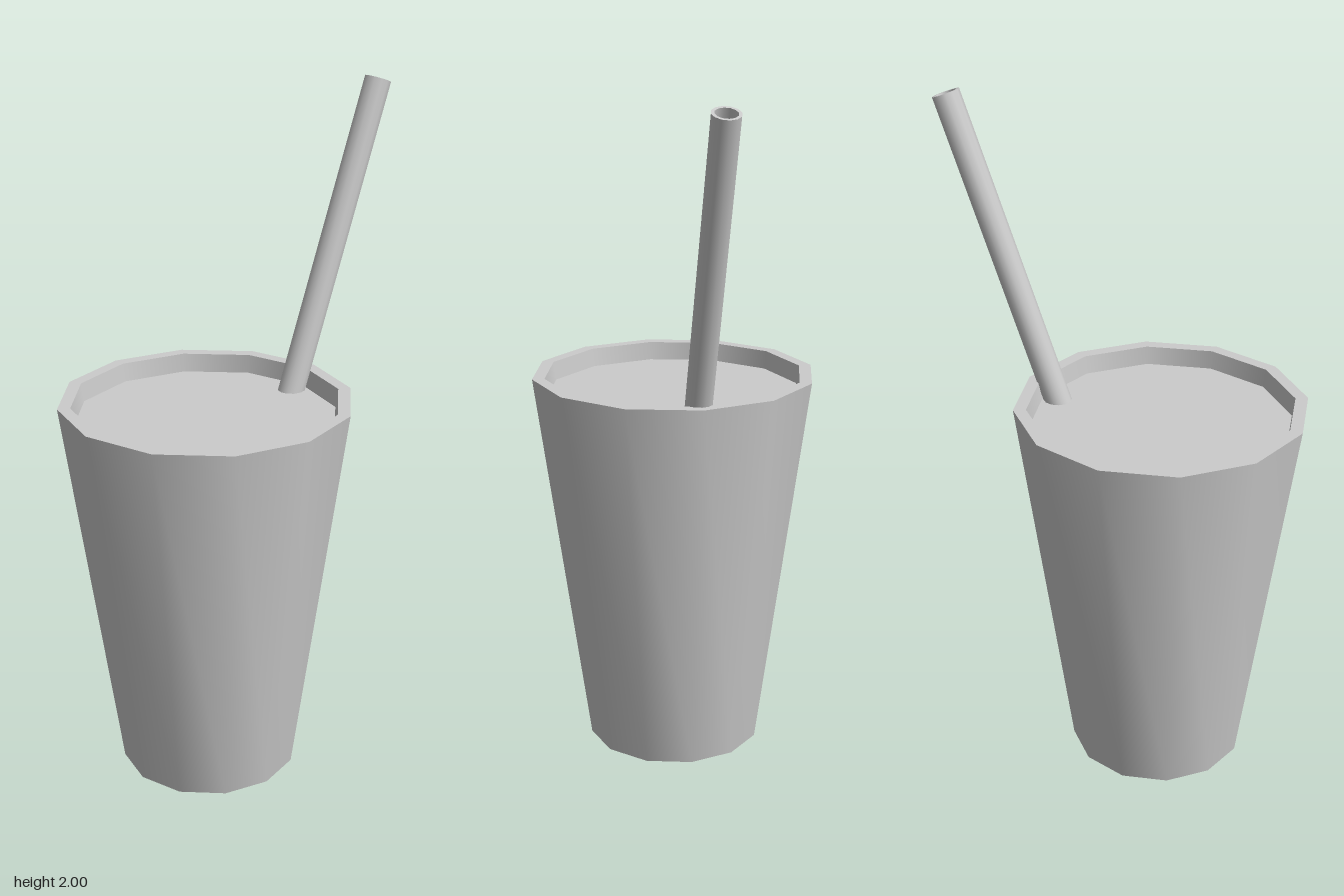
import * as THREE from 'three';
import { toCreasedNormals } from 'three/addons/utils/BufferGeometryUtils.js';

const SIDES = 12;
const CUP_Z = 0.137;

// Twelve-sided turned part: smooth around, crisp at profile corners
function turned(name, profile) {
  const points = profile.map(([r, y]) => new THREE.Vector2(r, y));
  const geometry = toCreasedNormals(new THREE.LatheGeometry(points, SIDES), 0.7);
  const mesh = new THREE.Mesh(geometry, new THREE.MeshStandardMaterial({ color: 0xcccccc }));
  mesh.name = name;
  return mesh;
}

export function createModel() {
  const group = new THREE.Group();
  group.name = 'cupWithStraw';

  // Tapered cup with a thick wall: base, outside, rim, inside, floor
  const cup = turned('cup', [
    [0, 0], [0.265, 0], [0.425, 1.16], [0.388, 1.16], [0.235, 0.05], [0, 0.05],
  ]);
  cup.position.z = CUP_Z;
  group.add(cup);

  // Flat drink surface just below the rim
  const drink = turned('drink', [[0.381, 1.105], [0, 1.105]]);
  drink.position.z = CUP_Z;
  group.add(drink);

  // Hollow straw leaning back, its origin at the top end
  const length = 1.95;
  const straw = turned('straw', [
    [0.031, -length], [0.04, -length], [0.04, 0], [0.031, 0], [0.031, -length],
  ]);
  straw.position.set(0, 1.986, -0.526);
  straw.rotation.x = THREE.MathUtils.degToRad(-20.5);
  group.add(straw);

  return group;
}
